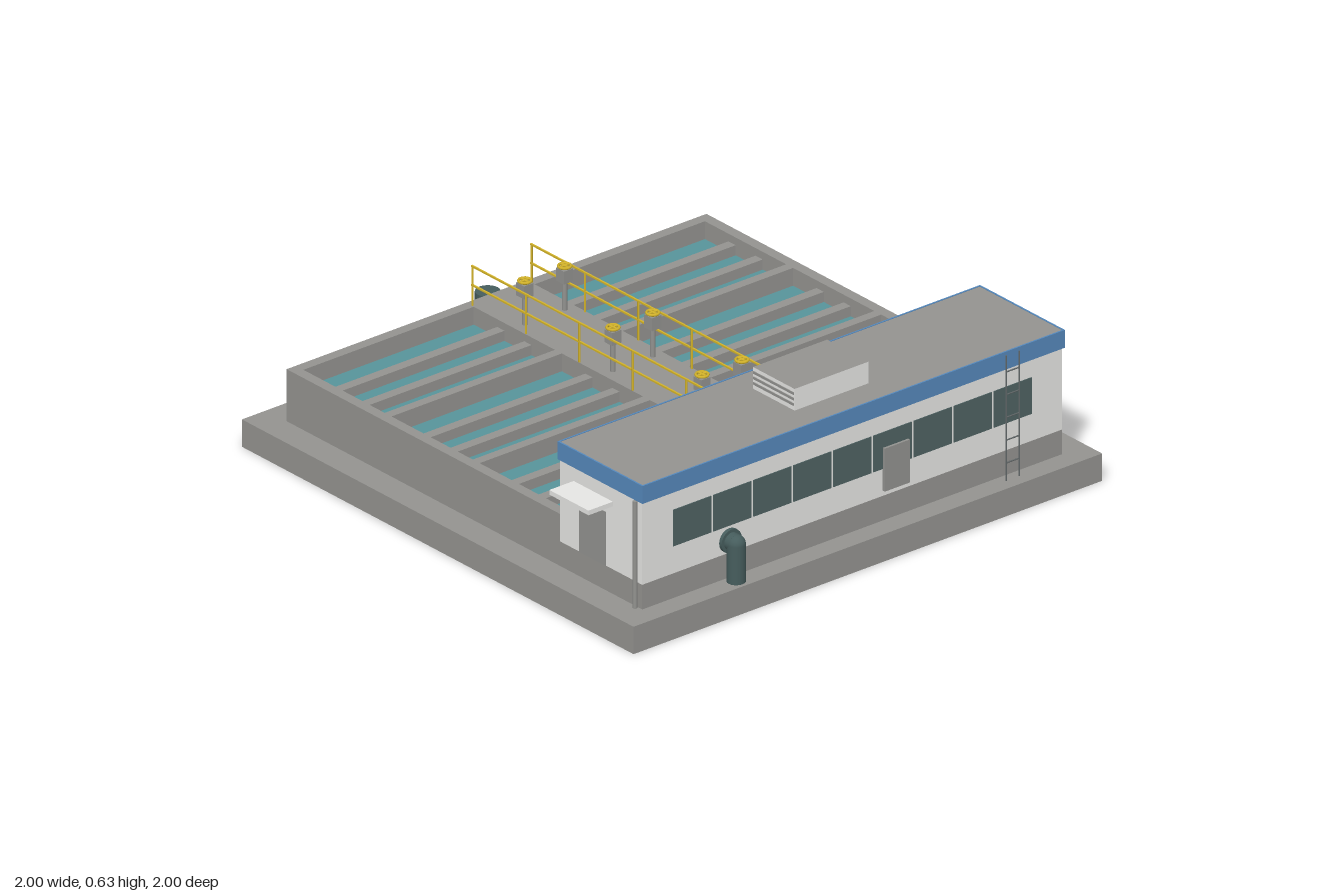
import * as THREE from 'three';

const mat = (name, color) => {
  const m = new THREE.MeshStandardMaterial({ color });
  m.name = name;
  return m;
};

export function createModel() {
  const concrete = mat('concrete grey', 0x949390);
  const wall = mat('wall off-white', 0xe6e6e4);
  const blue = mat('parapet blue', 0x5588bb);
  const water = mat('water teal', 0x57949a);
  const gold = mat('safety yellow', 0xd4b42a);
  const glass = mat('window glass', 0x4f6363);
  const pipeMat = mat('pipe green', 0x465d5d);
  const door = mat('door grey', 0x92928f);
  const steel = mat('dark steel', 0x606667);

  const model = new THREE.Group();
  model.name = 'waterTreatmentPlant';

  const add = (name, geo, material, parent = model) => {
    const m = new THREE.Mesh(geo, material);
    m.name = name;
    parent.add(m);
    return m;
  };
  const group = (name) => {
    const g = new THREE.Group();
    g.name = name;
    model.add(g);
    return g;
  };
  // Box given by its extents
  const box = (name, x0, x1, y0, y1, z0, z1, material, parent) => {
    const m = add(name, new THREE.BoxGeometry(x1 - x0, y1 - y0, z1 - z0), material, parent);
    m.position.set((x0 + x1) / 2, (y0 + y1) / 2, (z0 + z1) / 2);
    return m;
  };
  const post = (name, x, y0, y1, z, r, material, parent, sides = 12) => {
    const m = add(name, new THREE.CylinderGeometry(r, r, y1 - y0, sides), material, parent);
    m.position.set(x, (y0 + y1) / 2, z);
    return m;
  };
  // Horizontal slab with rectangular holes; each rectangle is [x0, x1, z0, z1]
  const slab = (name, rect, holes, y0, y1, material, parent) => {
    const corners = ([x0, x1, z0, z1]) =>
      [[x0, -z1], [x1, -z1], [x1, -z0], [x0, -z0]].map(([x, y]) => new THREE.Vector2(x, y));
    const shape = new THREE.Shape(corners(rect));
    holes.forEach((h) => shape.holes.push(new THREE.Path(corners(h).reverse())));
    const geo = new THREE.ExtrudeGeometry(shape, { depth: y1 - y0, bevelEnabled: false });
    geo.rotateX(-Math.PI / 2).translate(0, y0, 0);
    return add(name, geo, material, parent);
  };

  // Foundation: hollow plinth, open underneath
  const foundation = group('foundation');
  const inner = [-0.89, 0.915, -0.89, 0.89];
  slab('plinthSides', [-1, 1, -1, 1], [[-0.995, 0.995, -0.995, 0.995]], 0, 0.095, concrete, foundation);
  slab('plinthTop', [-1, 1, -1, 1], [inner], 0.095, 0.1, concrete, foundation);
  slab('footing', [-0.896, 0.92, -0.896, 0.896], [inner], 0.1, 0.13, concrete, foundation);
  box('floor', -0.893, 0.918, 0.12, 0.14, -0.893, 0.893, concrete, foundation);

  // Basins: three cells on each side of the central walkway
  const basins = group('basins');
  const cells = [];
  for (const [z0, z1] of [[-0.857, -0.13], [0.13, 0.857]])
    for (let i = 0; i < 3; i++) cells.push([-0.857 + i * 0.45, -0.442 + i * 0.45, z0, z1]);
  slab('basinWalls', [-0.896, 0.5, -0.896, 0.896], cells, 0.13, 0.29, concrete, basins);
  for (const [x0, x1, z0, z1] of cells) {
    box('waterSurface', x0, x1, 0.2, 0.225, z0, z1, water, basins);
    for (const dx of [0.12, 0.258])
      box('launder', x0 + dx, x0 + dx + 0.037, 0.21, 0.262, z0, z1, concrete, basins);
  }

  // Walkway railings
  const railings = group('railings');
  for (const z of [-0.126, 0.126]) {
    for (let i = 0; i < 6; i++)
      post('railPost', -0.868 + i * 0.273, 0.29, 0.435, z, 0.004, gold, railings, 8);
    for (const y of [0.364, 0.433])
      box('rail', -0.872, 0.5, y - 0.003, y + 0.003, z - 0.003, z + 0.003, gold, railings);
  }

  // Valve pedestals with handwheels
  const valves = group('valvePedestals');
  for (const x of [-0.65, -0.2, 0.255])
    for (const z of [-0.085, 0.085]) {
      post('valveColumn', x, 0.29, 0.4, z, 0.009, door, valves);
      box('valveGearbox', x - 0.02, x + 0.02, 0.395, 0.442, z - 0.02, z + 0.02, door, valves);
      const wheel = add('handwheel', new THREE.TorusGeometry(0.021, 0.005, 6, 16), gold, valves);
      wheel.rotation.x = Math.PI / 2;
      wheel.position.set(x, 0.45, z);
      box('wheelSpoke', x - 0.021, x + 0.021, 0.447, 0.453, z - 0.004, z + 0.004, gold, valves);
      box('wheelSpoke', x - 0.004, x + 0.004, 0.447, 0.453, z - 0.021, z + 0.021, gold, valves);
    }

  // Control building
  const house = group('building');
  box('buildingPlinth', 0.5, 0.92, 0.13, 0.19, -0.896, 0.896, concrete, house);
  box('buildingWalls', 0.5, 0.92, 0.19, 0.49, -0.896, 0.896, wall, house);
  slab('parapet', [0.494, 0.928, -0.902, 0.902], [[0.5, 0.922, -0.896, 0.896]], 0.49, 0.555, blue, house);
  box('roof', 0.5, 0.922, 0.49, 0.553, -0.896, 0.896, concrete, house);
  for (let i = 0; i < 9; i++) {
    const z = (i - 4) * 0.171;
    box('window', 0.918, 0.923, 0.29, 0.423, z - 0.081, z + 0.081, glass, house);
  }
  box('frontDoor', 0.6, 0.735, 0.19, 0.387, 0.894, 0.899, door, house);
  box('canopy', 0.57, 0.77, 0.42, 0.437, 0.896, 1, wall, house);
  box('backShutter', 0.585, 0.845, 0.27, 0.43, -0.899, -0.894, door, house);
  box('walkwayDoor', 0.497, 0.502, 0.29, 0.45, -0.06, 0.06, door, house);
  box('switchBox', 0.92, 0.932, 0.21, 0.367, -0.237, -0.13, door, house);
  for (const z of [-0.906, 0.906]) post('downpipe', 0.895, 0.1, 0.49, z, 0.008, door, house);

  // Rooftop ventilation unit with louvres on its front
  const vent = group('roofVentilator');
  box('ventHousing', 0.603, 0.815, 0.55, 0.632, -0.158, 0.158,
    [wall, wall, concrete, wall, wall, wall], vent);
  for (let i = 0; i < 3; i++)
    box('louvre', 0.606, 0.812, 0.57 + i * 0.02, 0.579 + i * 0.02, 0.157, 0.161, door, vent);

  // Wall ladder
  const ladder = group('ladder');
  for (const z of [-0.686, -0.63]) post('ladderRail', 0.953, 0.1, 0.557, z, 0.003, steel, ladder, 8);
  for (let i = 0; i < 5; i++) {
    const rung = post('ladderRung', 0.953, 0, 0.056, -0.658, 0.0025, steel, ladder, 8);
    rung.rotation.x = Math.PI / 2;
    rung.position.y = 0.165 + i * 0.083;
  }

  // Pipe leaving a wall towards +x and dropping into the ground
  const wallPipe = (name, reach, r, axisY, bottom, top, flangeR) => {
    const g = group(name);
    post('riser', reach, bottom, top, 0, r, pipeMat, g, 20);
    const branch = post('branch', reach / 2, axisY - reach / 2, axisY + reach / 2, 0, r, pipeMat, g, 20);
    branch.rotation.z = Math.PI / 2;
    const flange = post('wallFlange', 0.006, axisY - 0.007, axisY + 0.007, 0, flangeR, pipeMat, g, 20);
    flange.rotation.z = Math.PI / 2;
    return g;
  };
  const outlet = wallPipe('outletPipe', 0.036, 0.032, 0.237, 0.095, 0.237, 0.043);
  add('bend', new THREE.SphereGeometry(0.032, 20, 12), pipeMat, outlet).position.set(0.036, 0.237, 0);
  outlet.position.set(0.92, 0, 0.525);
  const inlet = wallPipe('inletPipe', 0.045, 0.043, 0.229, 0.06, 0.275, 0.06);
  post('riserFlange', 0.045, 0.138, 0.15, 0, 0.052, pipeMat, inlet, 20);
  inlet.position.set(-0.896, 0, 0);
  inlet.rotation.y = Math.PI;

  return model;
}
